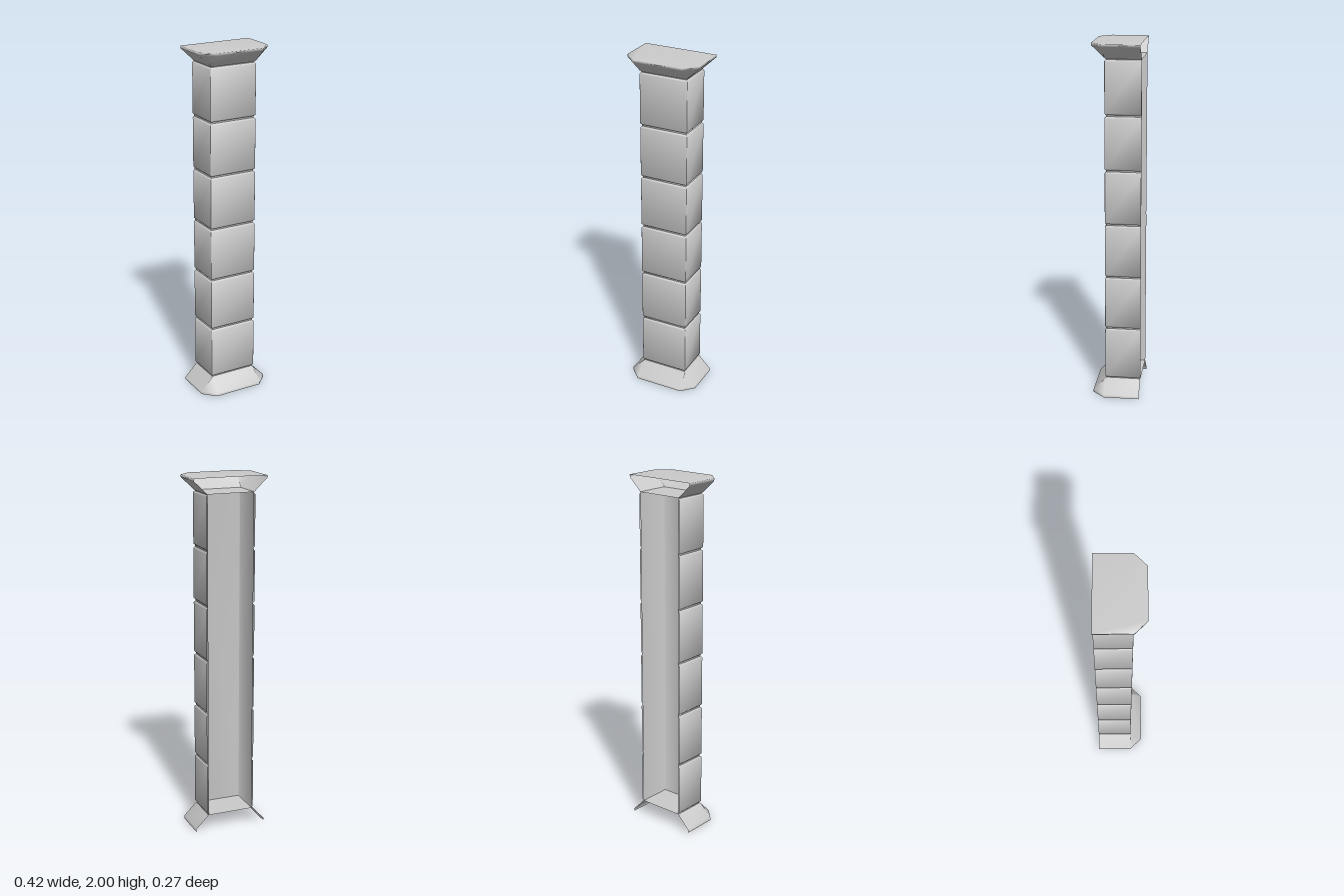
import * as THREE from 'three';
import { toCreasedNormals } from 'three/addons/utils/BufferGeometryUtils.js';

const BACK = -0.133; // the pilaster is open along this plane
const HALF = 0.14;
const FRONT = 0.067;

// Open-backed outline with chamfered front corners, ordered left to right.
function section(y, grow, chamfer) {
  const x = HALF + grow, z = FRONT + grow, c = chamfer;
  return [
    [-x, y, BACK], [-x, y, z - c], [-x + c, y, z],
    [x - c, y, z], [x, y, z - c], [x, y, BACK],
  ];
}

// Skin a stack of [y, grow, chamfer] sections, bottom to top.
function loft(levels, capTop = false) {
  const n = 6, index = [];
  const points = levels.flatMap((level) => section(...level));
  for (let j = 0; j < levels.length - 1; j++) {
    for (let i = 0; i < n - 1; i++) {
      const a = j * n + i, b = a + 1, c = b + n, d = a + n;
      index.push(a, b, c, a, c, d);
    }
  }
  if (capTop) {
    const s = (levels.length - 1) * n;
    for (let i = 1; i < n - 1; i++) index.push(s, s + i, s + i + 1);
  }
  const geometry = new THREE.BufferGeometry();
  geometry.setAttribute('position', new THREE.Float32BufferAttribute(points.flat(), 3));
  geometry.setIndex(index);
  geometry.computeVertexNormals();
  return geometry;
}

export function createModel() {
  const group = new THREE.Group();
  const material = new THREE.MeshStandardMaterial({ color: 0xcccccc, side: THREE.DoubleSide });
  const add = (name, geometry) => {
    const mesh = new THREE.Mesh(geometry, material);
    mesh.name = name;
    group.add(mesh);
    return mesh;
  };

  const bottom = 0.092, top = 1.915, count = 6;
  const pitch = (top - bottom) / count;

  // Plain inner shell behind the blocks
  add('shaftCore', toCreasedNormals(loft([[bottom, -0.008, 0.001], [top, -0.008, 0.001]]), 0.9));

  // Stacked blocks with bevelled edges and narrow joints between them
  const block = toCreasedNormals(loft([
    [0.004, -0.008, 0.001],
    [0.012, 0, 0.002],
    [pitch - 0.012, 0, 0.002],
    [pitch - 0.004, -0.008, 0.001],
  ]), 0.9);
  for (let i = 0; i < count; i++) {
    add(`block${i + 1}`, block).position.y = bottom + i * pitch;
  }

  // Flared foot, open underneath
  add('base', loft([[0, 0.068, 0.067], [0.016, 0.068, 0.067], [0.085, 0, 0.002], [bottom, -0.006, 0.002]]));

  // Flared head with a closed top
  add('capital', loft([[top, -0.006, 0.002], [1.922, 0, 0.002], [1.986, 0.068, 0.067], [2, 0.068, 0.067]], true));

  // Plates closing both ends of the shaft
  for (const [name, y] of [['lowerPlate', bottom], ['upperPlate', top]]) {
    const plate = new THREE.PlaneGeometry(HALF * 2 - 0.012, FRONT - BACK - 0.006).rotateX(-Math.PI / 2);
    add(name, plate).position.set(0, y, (FRONT + BACK - 0.006) / 2);
  }

  return group;
}
